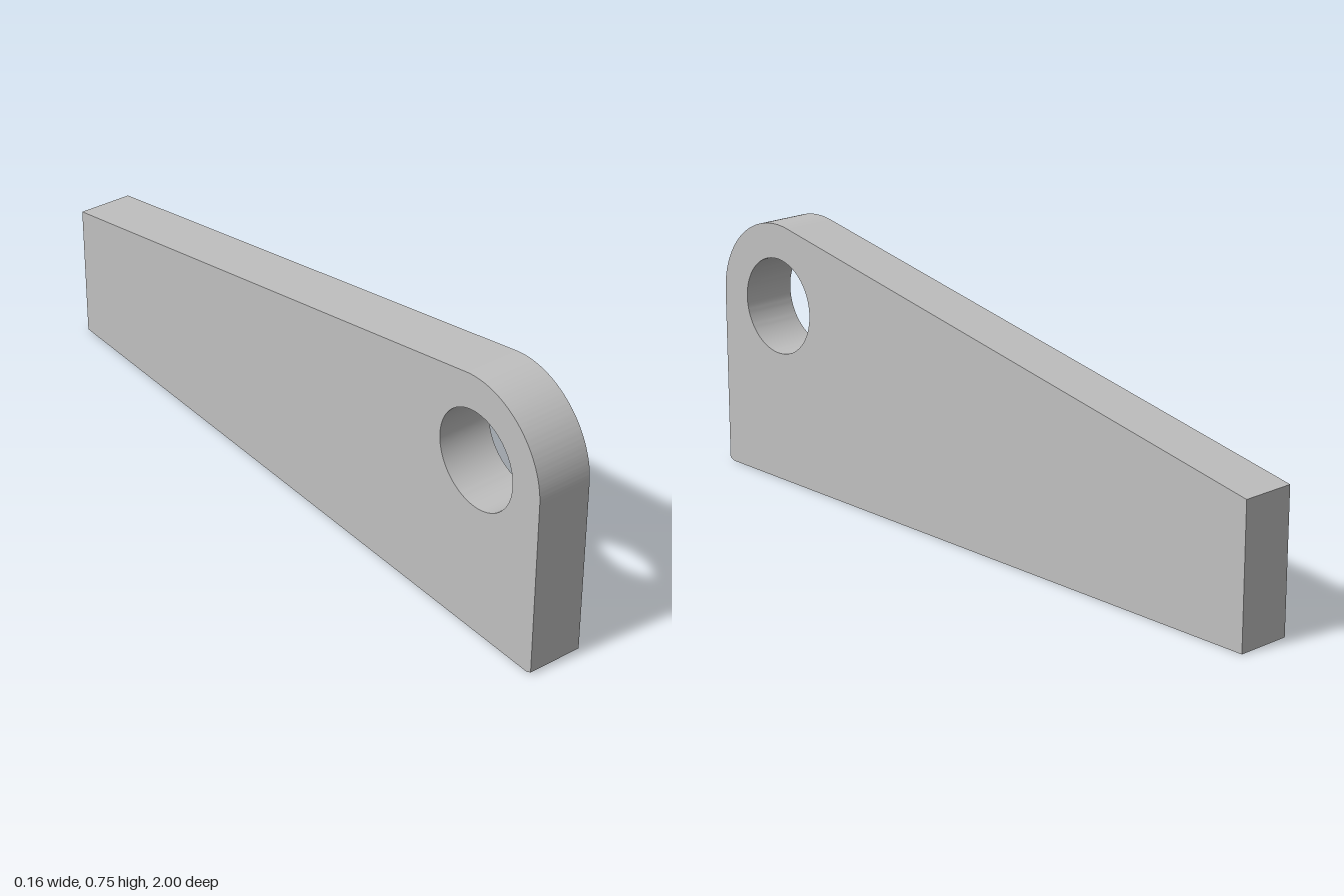
import * as THREE from 'three';
import { toCreasedNormals } from 'three/addons/utils/BufferGeometryUtils.js';

const THICKNESS = 0.158;
const EYE = { z: 0.763, y: 0.515, outer: 0.237, hole: 0.138 };

export function createModel() {
  const grey = new THREE.MeshStandardMaterial({ color: 0xc0c0c0 });
  grey.name = 'plain grey';

  // Side profile (shape x becomes model z): flat base, rounded eye, sloping top
  const profile = new THREE.Shape();
  profile.moveTo(-1, 0);
  profile.lineTo(0.985, 0);
  profile.lineTo(1, 0.007); // small bevel at the front foot
  profile.lineTo(1, EYE.y);
  // The arc ends where the sloping top edge is tangent to it
  profile.absarc(EYE.z, EYE.y, EYE.outer, 0, Math.PI / 2 + Math.atan(0.202), false);
  profile.lineTo(-1, 0.4);
  profile.closePath();

  // Round through hole, concentric with the eye
  const hole = new THREE.Path();
  hole.absarc(EYE.z, EYE.y, EYE.hole, 0, Math.PI * 2, true);
  profile.holes.push(hole);

  const extruded = new THREE.ExtrudeGeometry(profile, {
    depth: THICKNESS, bevelEnabled: false, curveSegments: 48,
  });
  extruded.translate(0, 0, -THICKNESS / 2);
  extruded.rotateY(-Math.PI / 2);

  // Smooth arc and bore, sharp outer edges
  const plate = new THREE.Mesh(toCreasedNormals(extruded, Math.PI / 9), grey);
  plate.name = 'taperedLugPlate';

  const group = new THREE.Group();
  group.name = 'lug';
  group.add(plate);
  return group;
}
